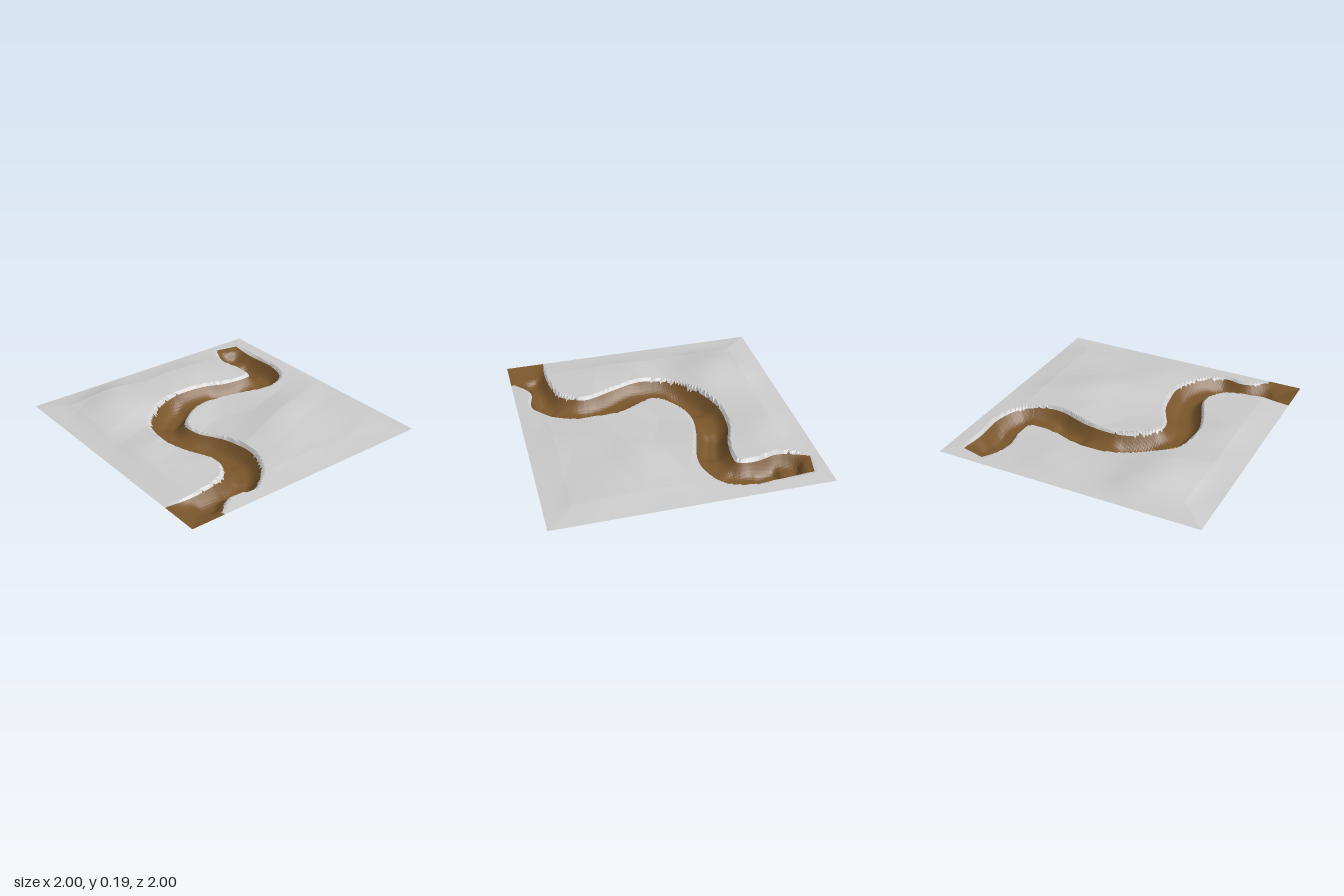
import * as THREE from 'three';

const CELLS = 110, STEP = 2 / CELLS, EDGE_Y = 0.12;

// the two banks of the channel as (x, z) points, from the west end to the south-east corner
const outerBank = [[-0.89, -0.87], [-0.7, -0.865], [-0.45, -0.88], [-0.25, -0.81], [-0.155, -0.635], [-0.155, -0.475],
  [-0.22, -0.26], [-0.25, -0.05], [-0.21, 0.11], [-0.075, 0.27], [0.06, 0.275], [0.25, 0.18], [0.42, 0.15],
  [0.57, 0.15], [0.73, 0.22], [0.845, 0.34], [0.89, 0.43], [0.865, 0.59], [0.94, 0.71], [1.1, 0.83]];
const innerBank = [[-0.93, -0.69], [-0.73, -0.61], [-0.55, -0.64], [-0.42, -0.63], [-0.395, -0.555], [-0.42, -0.37],
  [-0.475, -0.21], [-0.485, 0.03], [-0.42, 0.235], [-0.29, 0.405], [-0.155, 0.5], [0.06, 0.525], [0.245, 0.475],
  [0.46, 0.395], [0.595, 0.435], [0.685, 0.54], [0.725, 0.81], [0.69, 1.1]];

// bed heights along the channel (x, z, y)
const bedStations = [[-0.91, -0.78, 0.11], [-0.75, -0.74, 0.04], [-0.6, -0.73, 0], [-0.4, -0.73, 0.025],
  [-0.28, -0.6, 0.045], [-0.29, -0.35, 0.02], [-0.35, -0.05, 0.05], [-0.3, 0.2, 0.015], [-0.02, 0.4, 0.05],
  [0.4, 0.27, 0.035], [0.65, 0.32, 0.05], [0.79, 0.45, 0.035], [0.79, 0.72, 0.05], [0.85, 0.9, 0.09]];

// gentle hills (x, z, height, radius)
const hills = [[-0.6, 0.55, 0.055, 0.25], [-0.88, 0.4, 0.02, 0.15], [0.3, -0.42, 0.04, 0.3], [0.05, 0.68, 0.02, 0.25],
  [-0.68, -0.3, 0.02, 0.2], [0.55, -0.1, 0.025, 0.25], [0.8, 0.0, 0.01, 0.2]];

const spline = (pts) => new THREE.SplineCurve(pts.map(([x, z]) => new THREE.Vector2(x, z))).getPoints(pts.length * 4);
const outline = [...spline(outerBank), new THREE.Vector2(1.1, 1.1), ...spline(innerBank).reverse()];

// nearest point on the bank line, with a distance that is positive inside the channel
function nearestBank(x, z) {
  let best = Infinity, px = 0, pz = 0, inside = false;
  for (let i = 0, j = outline.length - 1; i < outline.length; j = i++) {
    const a = outline[j], b = outline[i], dx = b.x - a.x, dz = b.y - a.y;
    const t = THREE.MathUtils.clamp(((x - a.x) * dx + (z - a.y) * dz) / (dx * dx + dz * dz || 1), 0, 1);
    const qx = a.x + dx * t, qz = a.y + dz * t, d = Math.hypot(x - qx, z - qz);
    if (d < best) { best = d; px = qx; pz = qz; }
    if ((a.y > z) !== (b.y > z) && x < a.x + dx * (z - a.y) / dz) inside = !inside;
  }
  return { x: px, z: pz, d: inside ? best : -best };
}

// faceted noise: random heights on a skewed lattice, joined by flat triangles
function hash(i, j) {
  const s = Math.sin(i * 127.1 + j * 311.7) * 43758.5453;
  return s - Math.floor(s);
}
function facets(x, z, size) {
  const u = (x * 0.9 + z * 0.35) / size, v = (z * 0.85 - x * 0.45) / size;
  const i = Math.floor(u), j = Math.floor(v), f = u - i, g = v - j;
  const h00 = hash(i, j), h11 = hash(i + 1, j + 1);
  if (f > g) {
    const h10 = hash(i + 1, j);
    return h00 + (h10 - h00) * f + (h11 - h10) * g;
  }
  const h01 = hash(i, j + 1);
  return h00 + (h01 - h00) * g + (h11 - h01) * f;
}

function surfaceHeight(x, z, d) {
  const edge = 1 - Math.max(Math.abs(x), Math.abs(z));
  const fade = THREE.MathUtils.clamp(edge / 0.2, 0, 1);
  let rise = 0.004 + 0.025 * facets(x, z, 0.27);
  for (const [hx, hz, h, r] of hills) rise += h * Math.exp(-((x - hx) ** 2 + (z - hz) ** 2) / (r * r));
  const ground = EDGE_Y + fade * rise;
  let sum = 0, weight = 0;
  for (const [bx, bz, y] of bedStations) {
    const w = 1 / (((x - bx) ** 2 + (z - bz) ** 2) ** 2 + 1e-6);
    sum += w * y;
    weight += w;
  }
  const bedFade = THREE.MathUtils.clamp(edge / 0.13, 0, 1);
  const bed = THREE.MathUtils.lerp(EDGE_Y, sum / weight + 0.008 * (facets(x, z, 0.12) - 0.5) * (d < 0.1 ? 1 : 0), bedFade);
  const t = Math.sin(THREE.MathUtils.clamp((d + 0.015) / 0.11, 0, 1) * Math.PI / 2);
  return Math.max(0, THREE.MathUtils.lerp(ground, bed, t));
}

export function createModel() {
  const snow = new THREE.MeshStandardMaterial({ color: 0xcbcbcb, flatShading: true, side: THREE.DoubleSide });
  snow.name = 'pale grey ground';
  const earth = new THREE.MeshStandardMaterial({ color: 0x7a562b, flatShading: true, side: THREE.DoubleSide });
  earth.name = 'earth brown';

  // grid whose points close to a bank are moved onto it, so the colour border follows the bank
  const points = [];
  for (let j = 0; j <= CELLS; j++) {
    for (let i = 0; i <= CELLS; i++) {
      let x = -1 + i * STEP, z = -1 + j * STEP;
      const bank = nearestBank(x, z);
      const rim = i === 0 || j === 0 || i === CELLS || j === CELLS;
      if (!rim && Math.abs(bank.d) < STEP * 0.5 && Math.max(Math.abs(bank.x), Math.abs(bank.z)) < 1) {
        x = bank.x;
        z = bank.z;
        bank.d = 0;
      }
      points.push([x, surfaceHeight(x, z, bank.d), z]);
    }
  }

  // sort the triangles into ground and channel
  const ground = [], channel = [];
  const addTriangle = (...ids) => {
    const [p, q, r] = ids.map((id) => points[id]);
    const inside = nearestBank((p[0] + q[0] + r[0]) / 3, (p[2] + q[2] + r[2]) / 3).d > 0;
    (inside ? channel : ground).push(...p, ...q, ...r);
  };
  for (let j = 0; j < CELLS; j++) {
    for (let i = 0; i < CELLS; i++) {
      const a = j * (CELLS + 1) + i, b = a + CELLS + 1;
      addTriangle(a, b, a + 1);
      addTriangle(b, b + 1, a + 1);
    }
  }

  const group = new THREE.Group();
  group.name = 'terrain';
  const addPart = (name, positions, material) => {
    const geometry = new THREE.BufferGeometry();
    geometry.setAttribute('position', new THREE.Float32BufferAttribute(positions, 3));
    geometry.computeVertexNormals();
    const mesh = new THREE.Mesh(geometry, material);
    mesh.name = name;
    group.add(mesh);
  };
  addPart('ground', ground, snow);
  addPart('riverbed', channel, earth);
  return group;
}
